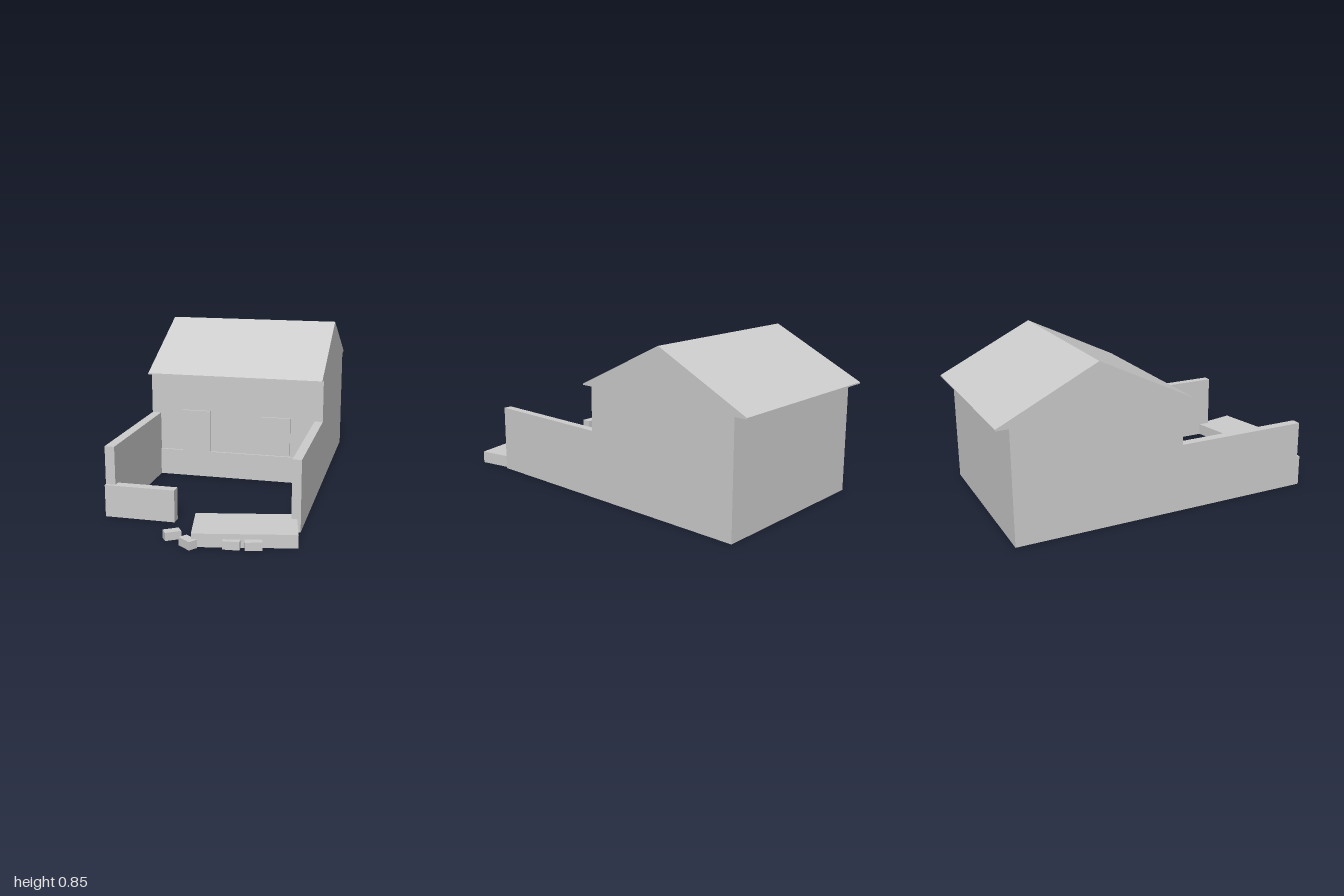
import * as THREE from 'three';

export function createModel() {
  const model = new THREE.Group();
  const stone = new THREE.MeshStandardMaterial({ color: 0xcccccc });
  stone.name = 'plain grey';

  const add = (name, geometry) => {
    const mesh = new THREE.Mesh(geometry, stone);
    mesh.name = name;
    model.add(mesh);
    return mesh;
  };

  // Box given by its minimum and maximum corners
  const box = (name, [x0, y0, z0], [x1, y1, z1]) =>
    add(name, new THREE.BoxGeometry(x1 - x0, y1 - y0, z1 - z0))
      .position.set((x0 + x1) / 2, (y0 + y1) / 2, (z0 + z1) / 2);

  // Box lying on the ground, turned about the vertical
  const rubble = (name, x, z, width, height, depth, degrees) => {
    const mesh = add(name, new THREE.BoxGeometry(width, height, depth));
    mesh.position.set(x, height / 2, z);
    mesh.rotation.y = THREE.MathUtils.degToRad(degrees);
  };

  // House with overhanging gable roof: side profile (z, y) extruded across x
  const profile = new THREE.Shape([
    [-0.935, 0], [-0.045, 0], [-0.045, 0.587], [0.015, 0.587], [0.015, 0.594],
    [-0.492, 0.845], [-1, 0.594], [-1, 0.587], [-0.935, 0.587],
  ].map(([z, y]) => new THREE.Vector2(z, y)));
  const house = new THREE.ExtrudeGeometry(profile, { depth: 0.973, bevelEnabled: false });
  house.rotateY(-Math.PI / 2).translate(0.473, 0, 0);
  add('house', house);

  // Raised plinth, door and window on the front wall
  box('plinth', [-0.45, 0, -0.045], [0.428, 0.147, -0.034]);
  box('door', [-0.32, 0.147, -0.045], [-0.16, 0.382, -0.034]);
  box('window', [0.135, 0.155, -0.045], [0.295, 0.366, -0.034]);

  // Courtyard walls
  box('rightYardWall', [-0.5, 0, -0.045], [-0.45, 0.357, 0.67]);
  box('leftYardWall', [0.428, 0, -0.045], [0.473, 0.357, 0.67]);
  box('lowFrontWall', [-0.5, 0, 0.635], [-0.143, 0.163, 0.686]);

  // Fallen wall section and loose blocks
  rubble('fallenWall', 0.231, 0.78, 0.484, 0.065, 0.257, 11.5);
  [
    [-0.095, 0.877, 0.078, 0.045, 33],
    [0.004, 0.953, 0.078, 0.045, -37],
    [0.2, 0.923, 0.08, 0.045, 4],
    [0.298, 0.91, 0.08, 0.045, 16],
  ].forEach(([x, z, w, d, a], i) => rubble('looseBlock' + (i + 1), x, z, w, 0.04, d, a));

  return model;
}
